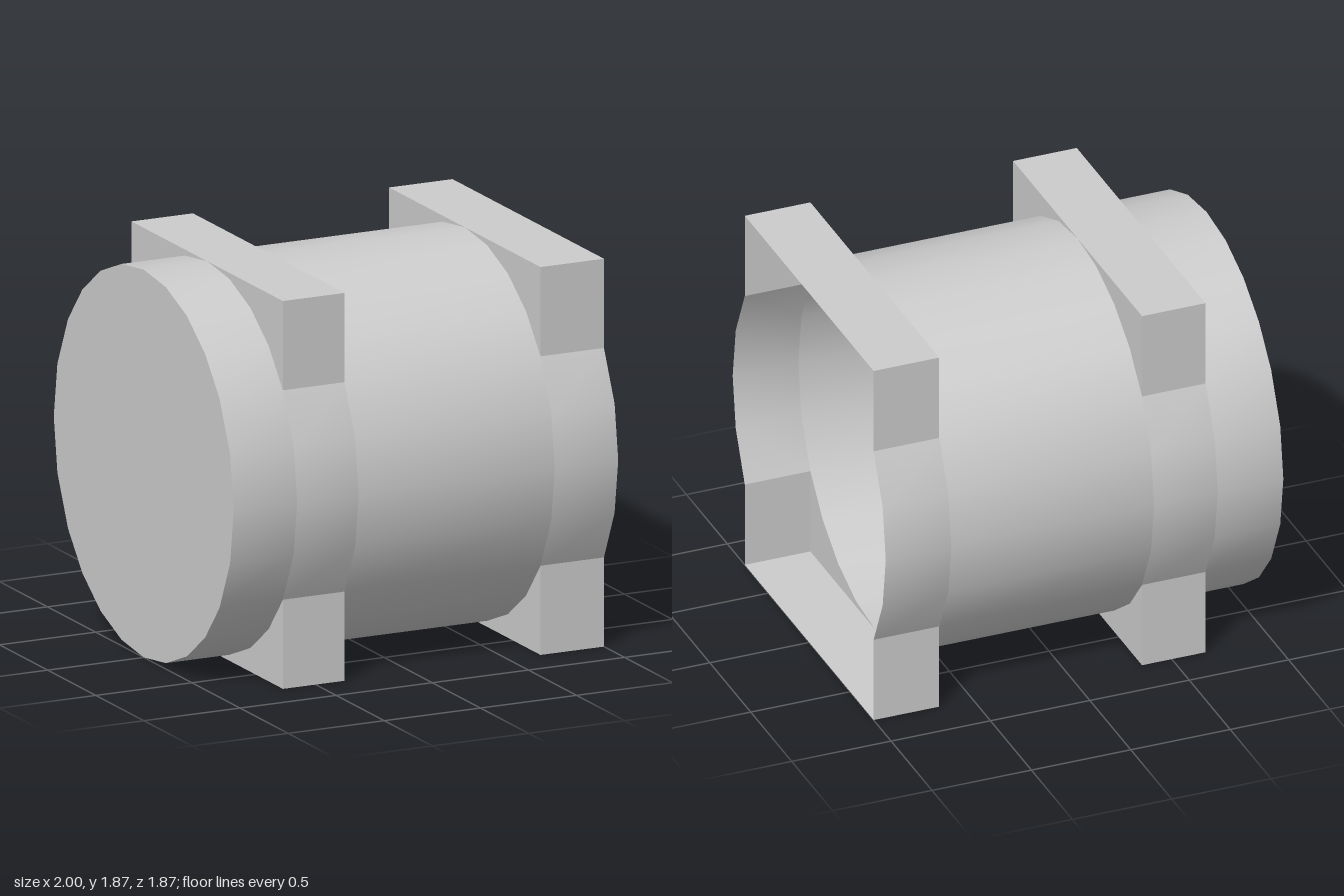
import * as THREE from 'three';
import { mergeGeometries } from 'three/addons/utils/BufferGeometryUtils.js';

const R = 0.935; // tube radius, also the height of its axis
const H = 0.787; // half depth of the square collars
const A = Math.acos(H / R); // angle at which a collar wall meets the tube
const LOW = R - R * Math.sin(A), HIGH = R + R * Math.sin(A), TOP = 2 * R;

// Points [z, y] on the tube circle, from angle a to b
function arc(a, b, n) {
  return Array.from({ length: n + 1 }, (_, i) => {
    const t = a + (b - a) * i / n;
    return [R * Math.cos(t), R + R * Math.sin(t)];
  });
}

// Surface swept along x through a row of [z, y] points
function sweep(points, x0, x1, closed = false) {
  const pos = [], index = [], n = points.length;
  for (const [z, y] of points) pos.push(x0, y, z, x1, y, z);
  for (let i = 0; i < (closed ? n : n - 1); i++) {
    const a = 2 * i, b = 2 * ((i + 1) % n);
    index.push(a, a + 1, b + 1, a, b + 1, b);
  }
  const g = new THREE.BufferGeometry();
  g.setAttribute('position', new THREE.Float32BufferAttribute(pos, 3));
  g.setIndex(index);
  g.computeVertexNormals();
  return g;
}

// Flat plate across the x axis, outlined by [z, y] points
function plate(points, x, side) {
  const g = new THREE.ShapeGeometry(new THREE.Shape(points.map(([z, y]) => new THREE.Vector2(-side * z, y))));
  g.deleteAttribute('uv');
  return g.rotateY(side * Math.PI / 2).translate(x, 0, 0);
}

export function createModel() {
  const model = new THREE.Group();
  const grey = new THREE.MeshStandardMaterial({ color: 0xcccccc, side: THREE.DoubleSide });
  grey.name = 'light grey';
  const add = (name, geometry) => {
    const mesh = new THREE.Mesh(geometry, grey);
    mesh.name = name;
    model.add(mesh);
  };

  // Full circle whose points include the collar joints
  const P = Math.PI;
  const circle = [
    ...arc(-A, A, 4).slice(0, -1), ...arc(A, P / 2, 4).slice(0, -1),
    ...arc(P / 2, P - A, 4).slice(0, -1), ...arc(P - A, P + A, 4).slice(0, -1),
    ...arc(P + A, 1.5 * P, 4).slice(0, -1), ...arc(1.5 * P, 2 * P - A, 4).slice(0, -1),
  ];

  // Tube, closed at one end
  add('endTube', sweep(circle, -1, -0.67, true));
  add('middleTube', sweep(circle, -0.35, 0.67, true));
  add('endCap', plate(circle, -1, -1));

  // Hollow square collars; the tube bulges out of their front and back
  const walls = [
    [[H, 0], [H, LOW]], [[H, HIGH], [H, TOP]], [[H, TOP], [-H, TOP]],
    [[-H, TOP], [-H, HIGH]], [[-H, LOW], [-H, 0]], [[-H, 0], [H, 0]],
    arc(-A, A, 4), arc(P - A, P + A, 4),
  ];
  const corners = [];
  for (const sz of [1, -1]) for (const sy of [1, -1]) {
    corners.push([...arc(A, P / 2, 4), [H, TOP]].map(([z, y]) => {
      return [sz * z, R + sy * (y - R)];
    }));
    // The corner outline follows the flat top edge back to the joint
  }
  const collar = (name, x0, x1, ends) => {
    add(name + 'Walls', mergeGeometries(walls.map(w => sweep(w, x0, x1))));
    for (const [x, side] of ends) {
      add(name + 'Corners', mergeGeometries(corners.map(c => plate(c, x, side))));
    }
  };
  collar('innerCollar', -0.67, -0.35, [[-0.67, -1], [-0.35, 1]]);
  collar('mouthCollar', 0.67, 1, [[0.67, -1]]); // open at the mouth

  return model;
}
